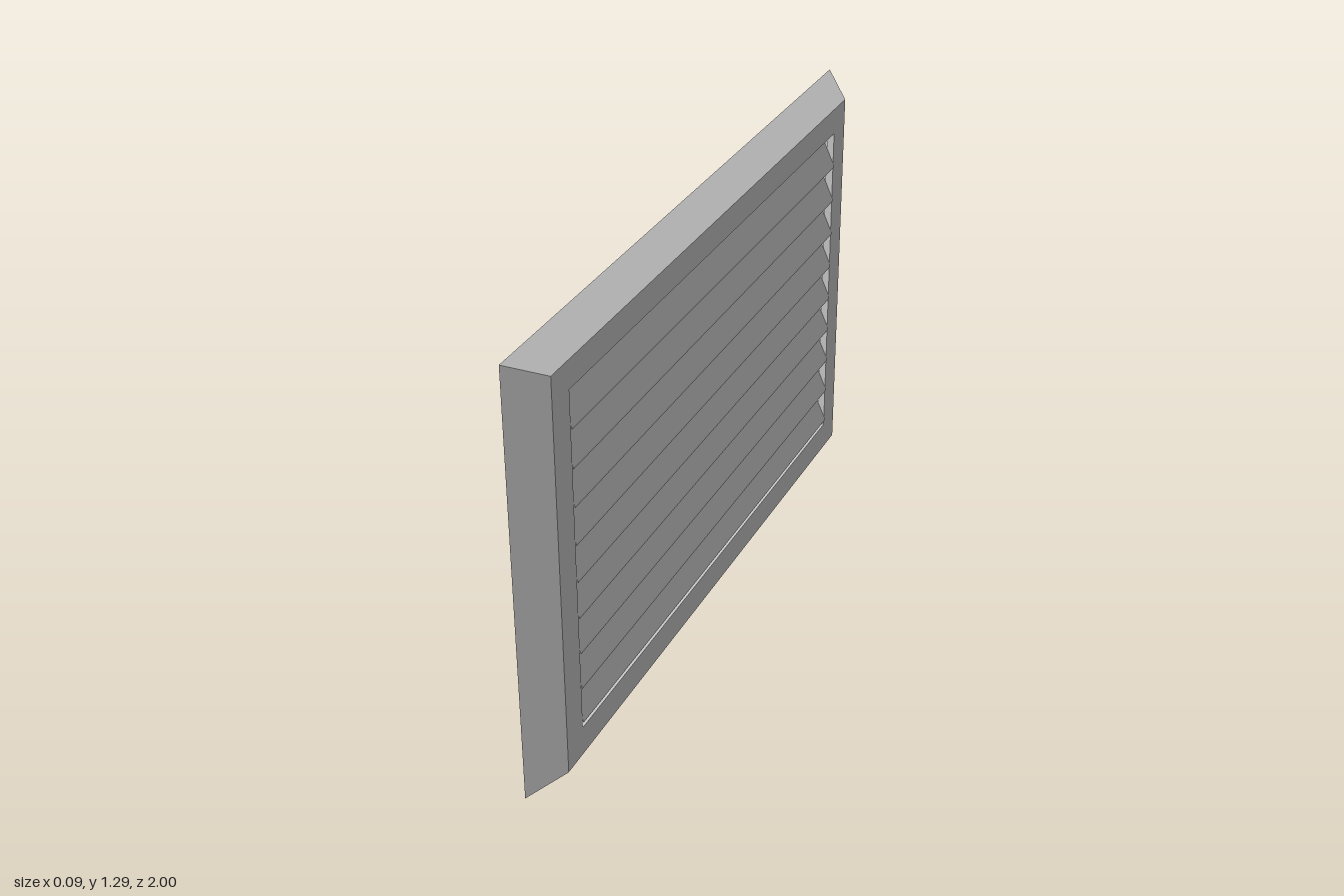
import * as THREE from 'three';

const material = new THREE.MeshStandardMaterial({ color: 0xcccccc, flatShading: true });

// Rectangular ring swept through a closed profile of [x, half width in z, bottom y, top y]
function rectangularRing(profile) {
  const corners = ([x, w, y0, y1]) => [[x, y0, w], [x, y0, -w], [x, y1, -w], [x, y1, w]];
  const positions = [];
  profile.forEach((p, i) => {
    const r0 = corners(p);
    const r1 = corners(profile[(i + 1) % profile.length]);
    for (let k = 0; k < 4; k++) {
      const n = (k + 1) % 4;
      positions.push(...r0[k], ...r0[n], ...r1[n], ...r0[k], ...r1[n], ...r1[k]);
    }
  });
  const geometry = new THREE.BufferGeometry();
  geometry.setAttribute('position', new THREE.Float32BufferAttribute(positions, 3));
  geometry.computeVertexNormals();
  return geometry;
}

export function createModel() {
  const group = new THREE.Group();
  group.name = 'louvredVent';

  // Bevelled frame with a front plate and a recess behind it
  const frame = new THREE.Mesh(rectangularRing([
    [-0.045, 1.0, 0, 1.287],
    [0.04, 0.917, 0.054, 1.235],
    [0.04, 0.834, 0.14, 1.156],
    [0.018, 0.834, 0.14, 1.156],
    [0.018, 0.905, 0.096, 1.19],
    [-0.045, 0.905, 0.096, 1.19],
  ]), material);
  frame.name = 'frame';
  group.add(frame);

  // Slanted slats: outer edge low, inner edge high
  const width = 1.668;
  const section = new THREE.Shape([
    new THREE.Vector2(0.043, 0),
    new THREE.Vector2(0.043, 0.006),
    new THREE.Vector2(0.01, 0.079),
    new THREE.Vector2(0.01, 0.073),
  ]);
  const slatGeometry = new THREE.ExtrudeGeometry(section, { depth: width, bevelEnabled: false });
  slatGeometry.translate(0, 0, -width / 2);
  for (let i = 0; i < 9; i++) {
    const slat = new THREE.Mesh(slatGeometry, material);
    slat.name = `slat${i + 1}`;
    slat.position.y = 0.157 + i * 0.1112;
    group.add(slat);
  }
  return group;
}
